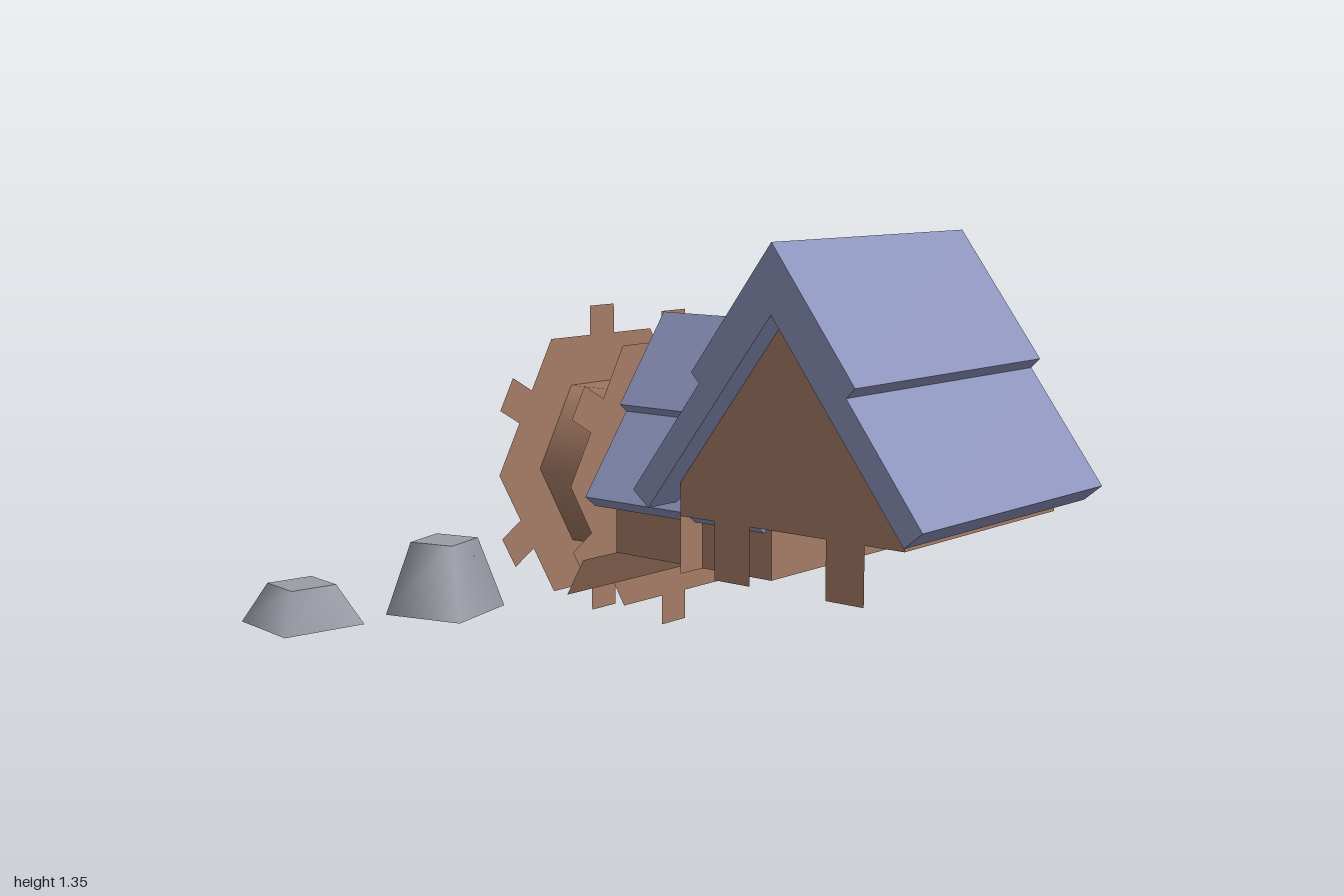
import * as THREE from 'three';

const paint = (color) => new THREE.MeshStandardMaterial({ color, side: THREE.DoubleSide });
const wood = paint(0xa67c66);
const slate = paint(0x8d94bd);
const stone = paint(0x9c9ca8);

function shapeOf(points) {
  return new THREE.Shape(points.map(([x, y]) => new THREE.Vector2(x, y)));
}

function add(parent, name, geometry, material, x = 0, y = 0, z = 0) {
  const mesh = new THREE.Mesh(geometry, material);
  mesh.name = name;
  mesh.position.set(x, y, z);
  parent.add(mesh);
  return mesh;
}

// Two stepped shingle layers: half profile mirrored over the ridge, then extruded
function roofGeometry(half, length) {
  const mirrored = half.slice(1, -1).reverse().map(([x, y]) => [-x, y]);
  const geo = new THREE.ExtrudeGeometry(shapeOf([...half, ...mirrored]), { depth: length, bevelEnabled: false });
  return geo.translate(0, 0, -length / 2);
}

// Hexagonal wheel face with a paddle in the middle of each side
function wheelFace(radius, hole) {
  const apothem = radius * Math.cos(Math.PI / 6);
  const outline = [];
  const inner = [];
  for (let i = 0; i < 6; i++) {
    const a = i * Math.PI / 3, m = a + Math.PI / 6;
    const c = Math.cos(m), s = Math.sin(m);
    outline.push([radius * Math.cos(a), radius * Math.sin(a)]);
    for (const [r, t] of [[apothem, -0.06], [apothem + 0.1, -0.06], [apothem + 0.1, 0.06], [apothem, 0.06]]) {
      outline.push([r * c - t * s, r * s + t * c]);
    }
    inner.push([hole * Math.cos(a), hole * Math.sin(a)]);
  }
  const shape = shapeOf(outline);
  shape.holes.push(shapeOf(inner));
  return new THREE.ShapeGeometry(shape);
}

function makeHouse() {
  const house = new THREE.Group();
  house.name = 'house';
  const roof = roofGeometry([[0, 1.345], [0.295, 0.955], [0.265, 0.925], [0.525, 0.58], [0.465, 0.53], [0, 1.14]], 0.98);
  add(house, 'mainRoof', roof.rotateY(Math.PI / 2), slate, 0.395, 0, 0.405);

  // Gable walls and low side walls, open underneath
  const gable = [[-0.41, 0.5], [0.41, 0.5], [0.41, 0.605], [0, 1.14], [-0.41, 0.605]];
  for (const x of [-0.01, 0.8]) {
    add(house, 'gableWall', new THREE.ShapeGeometry(shapeOf(gable)).rotateY(Math.PI / 2), wood, x, 0, 0.405);
  }
  for (const z of [-0.005, 0.815]) {
    add(house, 'sideWall', new THREE.PlaneGeometry(0.81, 0.105), wood, 0.395, 0.5525, z);
  }

  // Flat posts under the walls
  for (const z of [0.198, 0.612]) {
    add(house, 'sidePost', new THREE.PlaneGeometry(0.135, 0.18).rotateY(Math.PI / 2), wood, -0.01, 0.41, z);
  }
  for (const x of [0.045, 0.75]) {
    add(house, 'backPost', new THREE.PlaneGeometry(0.11, 0.18), wood, x, 0.41, -0.005);
  }
  return house;
}

function makeAnnex() {
  const annex = new THREE.Group();
  annex.name = 'annex';
  const roof = roofGeometry([[0, 1.07], [0.215, 0.785], [0.185, 0.76], [0.38, 0.505], [0.335, 0.47], [0, 0.912]], 0.69);
  add(annex, 'annexRoof', roof, slate, 0.395, 0, -0.08);
  const body = shapeOf([[-0.3, 0.32], [0.3, 0.32], [0.3, 0.515], [0, 0.91], [-0.3, 0.515]]);
  add(annex, 'annexBody', new THREE.ExtrudeGeometry(body, { depth: 0.63, bevelEnabled: false }), wood, 0.395, 0, -0.365);

  // Thin board sloping down from the back of the annex
  const board = new THREE.BufferGeometry();
  board.setAttribute('position', new THREE.Float32BufferAttribute([
    -0.06, 0.32, -0.365, 0.75, 0.32, -0.365, 0.757, 0.2, -0.43, -0.067, 0.2, -0.43], 3));
  board.setIndex([0, 1, 2, 0, 2, 3]);
  board.computeVertexNormals();
  add(annex, 'slopingBoard', board, wood);
  return annex;
}

function makeWheel() {
  const wheel = new THREE.Group();
  wheel.name = 'waterWheel';
  for (const z of [-0.1625, 0.1625]) {
    const face = wheelFace(0.5, 0.31);
    if (z < 0) face.rotateY(Math.PI);
    add(wheel, 'wheelFace', face, wood, 0, 0, z);
  }
  const drum = new THREE.CylinderGeometry(0.31, 0.31, 0.325, 6, 1, true, Math.PI / 6);
  add(wheel, 'wheelDrum', drum.rotateX(Math.PI / 2), wood);
  wheel.position.set(0.5, 0.533, -0.6375);
  return wheel;
}

// Tapered square rock, open at the bottom
function makeRock(x, z, top, bottom, height, turn) {
  const rock = new THREE.Group();
  rock.name = 'rock';
  const r = Math.SQRT1_2;
  add(rock, 'rockSides', new THREE.CylinderGeometry(top * r, bottom * r, height, 4, 1, true, Math.PI / 4), stone, 0, height / 2, 0);
  add(rock, 'rockTop', new THREE.PlaneGeometry(top, top).rotateX(-Math.PI / 2), stone, 0, height, 0);
  rock.position.set(x, 0.2, z);
  rock.rotation.y = turn;
  return rock;
}

export function createModel() {
  const model = new THREE.Group();
  model.name = 'waterMill';
  model.add(
    makeHouse(),
    makeAnnex(),
    makeWheel(),
    makeRock(-0.457, -0.572, 0.148, 0.262, 0.22, 0.27),
    makeRock(-0.847, -0.775, 0.148, 0.265, 0.12, -0.17),
  );
  return model;
}
